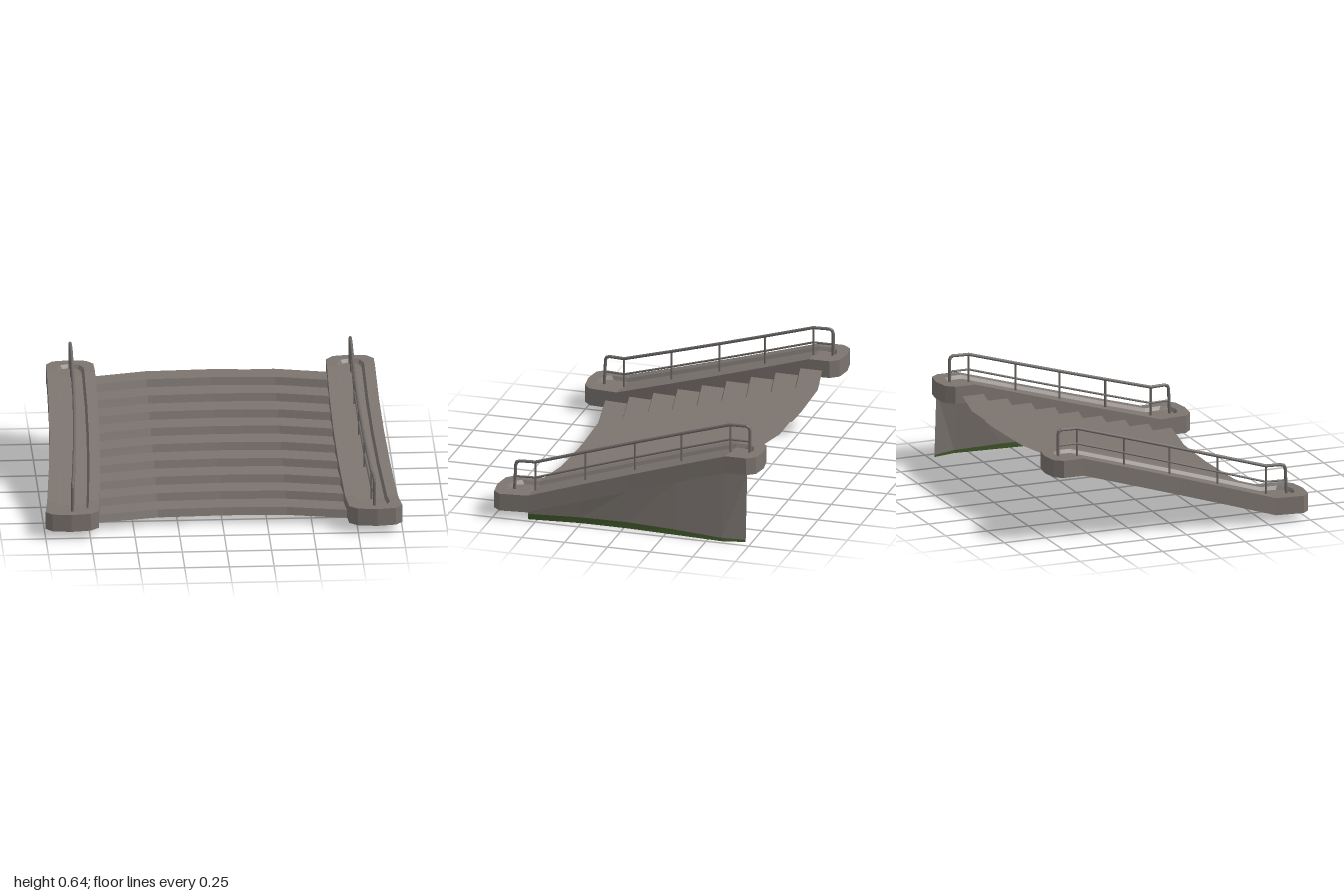
import * as THREE from 'three';

const stone = new THREE.MeshStandardMaterial({ color: 0x7b746f, side: THREE.DoubleSide });
stone.name = 'stone';
const railMetal = new THREE.MeshStandardMaterial({ color: 0x6c6865 });
railMetal.name = 'rail metal';
const grass = new THREE.MeshStandardMaterial({ color: 0x435a2c, side: THREE.DoubleSide });
grass.name = 'grass';

// Plan and height rules shared by all parts
const centre = z => 0.797 + 0.0458 * z + 0.0407 * z * z;
const halfWidth = z => 0.141 + 0.011 * z;
const ramp = z => THREE.MathUtils.clamp((0.55 - z) / 1.14, 0, 1);
const curbTop = z => 0.145 + 0.345 * ramp(z);

// Flat-shaded mesh from quads given as four corners [x, y, z]
function quadMesh(name, quads, material) {
  const pos = [];
  for (const [a, b, c, d] of quads) pos.push(...a, ...b, ...c, ...a, ...c, ...d);
  const g = new THREE.BufferGeometry();
  g.setAttribute('position', new THREE.Float32BufferAttribute(pos, 3));
  g.computeVertexNormals();
  const m = new THREE.Mesh(g, material);
  m.name = name;
  return m;
}

// Curved steps: a thin shell of sloped risers and treads
function makeSteps() {
  const group = new THREE.Group();
  group.name = 'steps';
  const count = 9, rise = 0.0428, run = 0.1445;
  const columns = [[-1, 0.08], [-0.36, 0.013], [0, 0], [0.16, 0.004], [0.16, 0.004], [0.36, 0.013], [1, 0.08]];
  const row = (y, z, isBack) => columns.map(([x, bow], j) => {
    let pz = z + bow;
    if (isBack && j === 4) pz = -0.73; // small break in the back edge
    const px = Math.abs(x) === 1 ? x * (centre(pz) - halfWidth(pz) + 0.012) : x;
    return [px, y, pz];
  });
  const strip = (a, b) => {
    const quads = [];
    for (let j = 0; j < columns.length - 1; j++) {
      if (j !== 3) quads.push([a[j], a[j + 1], b[j + 1], b[j]]);
    }
    return quads;
  };
  for (let i = 0; i < count; i++) {
    const z = 0.545 - run * i, y = 0.045 + rise * i, last = i === count - 1;
    const foot = row(y, z + 0.007);
    const nose = row(y + rise, z - 0.006);
    const back = row(y + rise, last ? -0.745 : z - run + 0.007, last);
    group.add(quadMesh('step', [...strip(foot, nose), ...strip(nose, back)], stone));
  }
  return group;
}

// Curb: outer wall, rim and shallow recessed channel, open underneath
function makeCurb(side) {
  const sideZ = [0.71, 0.55, 0.25, -0.02, -0.3, -0.59, -0.71];
  const ring = (inset, drop) => {
    const half = [[0, 0.767 - inset], [0.72, 0.752 - inset]];
    for (const z of sideZ) half.push([1, Math.abs(z) === 0.71 ? z - Math.sign(z) * inset : z]);
    half.push([0.72, -0.757 + inset], [0, -0.772 + inset]);
    const point = ([u, z], s) => [
      side * centre(z) + s * u * (halfWidth(z) - inset), curbTop(z) - drop, z];
    const right = half.map(p => point(p, side));
    const left = half.slice(1, -1).reverse().map(p => point(p, -side));
    return [...right, ...left];
  };
  const rings = [ring(0, 0.1), ring(0, 0), ring(0.06, 0), ring(0.073, 0.02)];
  const n = rings[0].length;
  const quads = [];
  const add = (a, b, c, d) => quads.push(side > 0 ? [a, b, c, d] : [d, c, b, a]);
  for (let k = 0; k < rings.length - 1; k++) {
    for (let i = 0; i < n; i++) {
      const j = (i + 1) % n;
      add(rings[k][i], rings[k][j], rings[k + 1][j], rings[k + 1][i]);
    }
  }
  // Channel floor
  const f = rings[3];
  for (let i = 0; i < n / 2; i++) add(f[i], f[i + 1], f[n - i - 1], f[(n - i) % n]);
  return quadMesh('curb', quads, stone);
}

// Round bar between two points
function bar(group, name, a, b, radius) {
  const dir = b.clone().sub(a);
  const m = new THREE.Mesh(new THREE.CylinderGeometry(radius, radius, dir.length(), 10), railMetal);
  m.position.copy(a).add(b).multiplyScalar(0.5);
  m.quaternion.setFromUnitVectors(new THREE.Vector3(0, 1, 0), dir.normalize());
  m.name = name;
  group.add(m);
}

// Handrail following the middle of a curb
function makeRailing(side) {
  const group = new THREE.Group();
  group.name = 'railing';
  const at = (z, y) => new THREE.Vector3(side * centre(z), y, z);
  const postZ = [0.55, 0.265, -0.02, -0.29, -0.575];
  const slope = (z, low, high) => THREE.MathUtils.lerp(low, high, (0.55 - z) / 1.125);

  // Top rail with its bent ends
  const top = [at(0.67, 0.1), at(0.662, 0.27), at(0.655, 0.287), at(0.635, 0.293),
    ...postZ.map(z => at(z, slope(z, 0.293, 0.628))),
    at(-0.67, 0.63), at(-0.685, 0.622), at(-0.69, 0.605), at(-0.69, 0.44)];
  for (let i = 0; i < top.length - 1; i++) {
    bar(group, 'handrail', top[i], top[i + 1], 0.009);
    if (i > 0) {
      const joint = new THREE.Mesh(new THREE.SphereGeometry(0.009, 10, 6), railMetal);
      joint.position.copy(top[i]);
      joint.name = 'railJoint';
      group.add(joint);
    }
  }
  // Middle rail
  const mid = [at(0.664, 0.2), ...postZ.map(z => at(z, slope(z, 0.2, 0.54))), at(-0.69, 0.54)];
  for (let i = 0; i < mid.length - 1; i++) bar(group, 'middleRail', mid[i], mid[i + 1], 0.006);
  // Posts
  for (const z of postZ) {
    bar(group, 'post', at(z, curbTop(z) - 0.05), at(z, slope(z, 0.293, 0.628)), 0.006);
  }
  return group;
}

// Side wall under the left curb, with a grass strip along its foot
function makeSideWall() {
  const group = new THREE.Group();
  group.name = 'sideWall';
  // z, foot x, grass height
  const stations = [[0.55, 0.97, 0.035], [0.25, 0.94, 0.036], [-0.02, 0.94, 0.036],
    [-0.3, 0.956, 0.03], [-0.585, 0.974, 0.019], [-0.715, 0.945, 0.013]];
  const columns = stations.map(([z, footX, h]) => {
    const topX = centre(z) + halfWidth(z) - 0.001;
    const topY = curbTop(z) - 0.098;
    const midX = THREE.MathUtils.lerp(footX, topX, h / topY);
    return [[footX, 0, z], [midX, h, z], [topX, topY, z]];
  });
  const strip = k => columns.slice(1).map((c, i) =>
    [columns[i][k], c[k], c[k + 1], columns[i][k + 1]]);
  group.add(quadMesh('grassStrip', strip(0), grass), quadMesh('wallPanel', strip(1), stone));
  return group;
}

export function createModel() {
  const model = new THREE.Group();
  model.name = 'staircase';
  model.add(makeSteps(), makeSideWall());
  for (const side of [1, -1]) model.add(makeCurb(side), makeRailing(side));
  return model;
}
